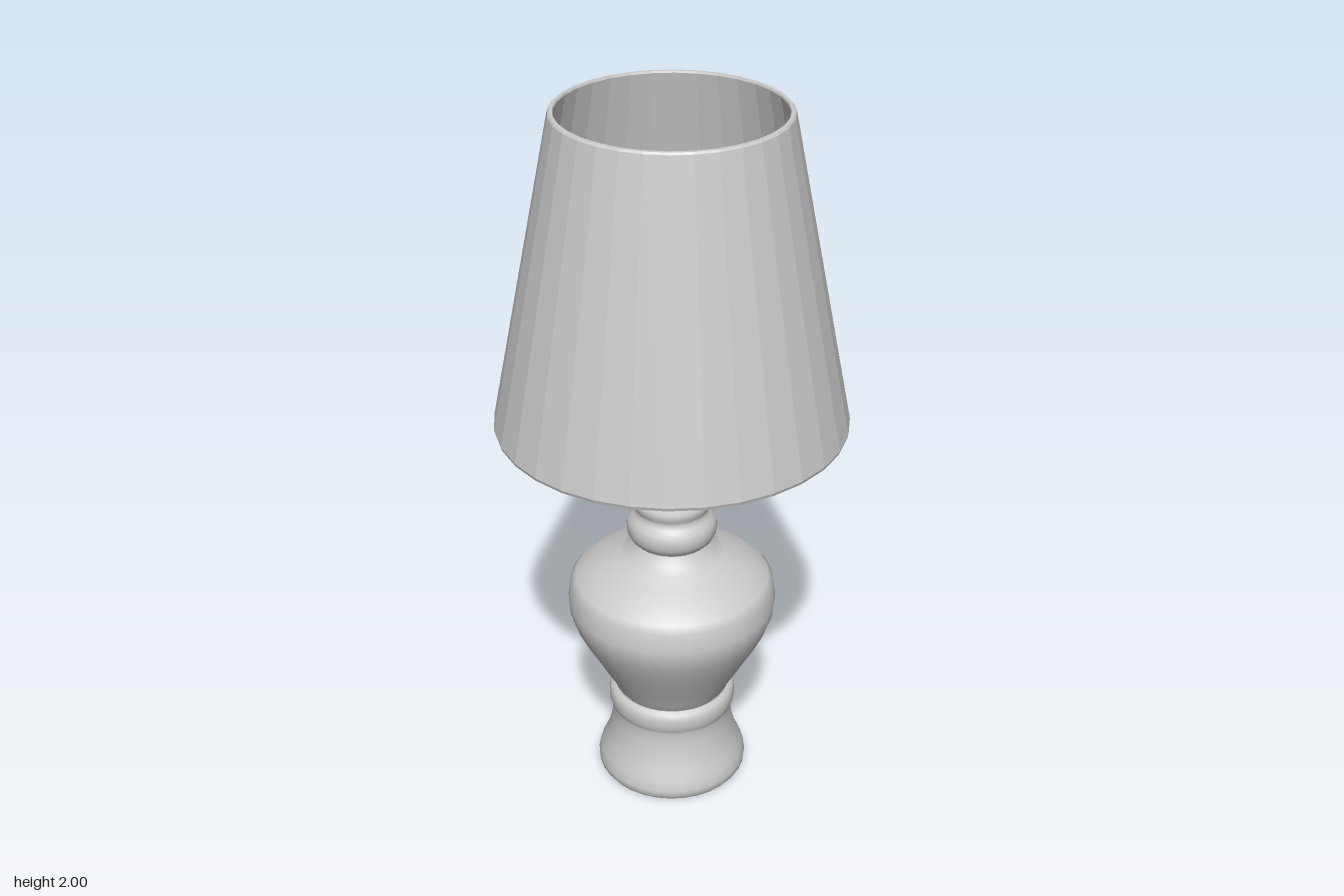
import * as THREE from 'three';

const SEGMENTS = 32;

// Surface of revolution from [radius, height] pairs, listed bottom to top on the outside
function turned(name, profile, flat = false) {
  const points = profile.map(([r, y]) => new THREE.Vector2(r, y));
  const material = new THREE.MeshStandardMaterial({ color: 0xcccccc, flatShading: flat });
  const mesh = new THREE.Mesh(new THREE.LatheGeometry(points, SEGMENTS), material);
  mesh.name = name;
  return mesh;
}

export function createModel() {
  const lamp = new THREE.Group();
  lamp.name = 'tableLamp';

  // Foot: flat underside, then a flared pedestal with a rounded collar
  lamp.add(turned('footUnderside', [[0, 0], [0.205, 0]]));
  lamp.add(turned('foot', [
    [0.205, 0], [0.213, 0.012], [0.215, 0.03], [0.207, 0.06], [0.192, 0.09], [0.18, 0.13],
    [0.173, 0.17], [0.17, 0.205], [0.176, 0.218], [0.181, 0.235], [0.181, 0.258],
    [0.176, 0.275], [0.163, 0.282],
  ]));

  // Urn-shaped body narrowing to the neck
  lamp.add(turned('body', [
    [0.155, 0.278], [0.164, 0.29], [0.172, 0.31], [0.195, 0.35], [0.222, 0.4], [0.25, 0.45],
    [0.274, 0.5], [0.288, 0.54], [0.292, 0.575], [0.285, 0.63], [0.27, 0.65], [0.235, 0.677],
    [0.185, 0.705], [0.145, 0.725], [0.122, 0.742], [0.108, 0.768],
  ]));

  // Stacked neck rings
  lamp.add(turned('neckRings', [
    [0.106, 0.768], [0.116, 0.778], [0.124, 0.795], [0.125, 0.815], [0.121, 0.835],
    [0.108, 0.848], [0.1, 0.86], [0.103, 0.872], [0.108, 0.882], [0.108, 0.897], [0.1, 0.908],
    [0.07, 0.911],
  ]));
  lamp.add(turned('neckCap', [[0.07, 0.908], [0.072, 0.914], [0.071, 0.926], [0.066, 0.93], [0.034, 0.932]]));

  // Slim stem carrying the bulb holder
  lamp.add(turned('stem', [
    [0.042, 0.928], [0.036, 0.945], [0.031, 0.965], [0.034, 0.978], [0.043, 0.99],
    [0.045, 1.003], [0.041, 1.015], [0.045, 1.025],
  ]));
  lamp.add(turned('bulbHolder', [[0.044, 1.022], [0.051, 1.035], [0.053, 1.06], [0.051, 1.098]]));
  lamp.add(turned('bulbHolderRim', [[0.051, 1.098], [0.038, 1.1]]));

  // Bulb: straight neck flowing into a sphere
  const bulb = [[0.04, 1.098], [0.04, 1.135], [0.045, 1.16]];
  for (let i = 0; i <= 12; i++) {
    const a = -0.85 + (i / 12) * (Math.PI / 2 + 0.85);
    bulb.push([Math.max(0, 0.088 * Math.cos(a)), 1.25 + 0.088 * Math.sin(a)]);
  }
  lamp.add(turned('bulb', bulb));

  // Faceted shade with a thin wall, open at both ends
  lamp.add(turned('shade', [
    [0.463, 1.14], [0.472, 1.137], [0.475, 1.146], [0.306, 1.995], [0.302, 2],
    [0.293, 2], [0.291, 1.995], [0.463, 1.14],
  ], true));

  return lamp;
}
